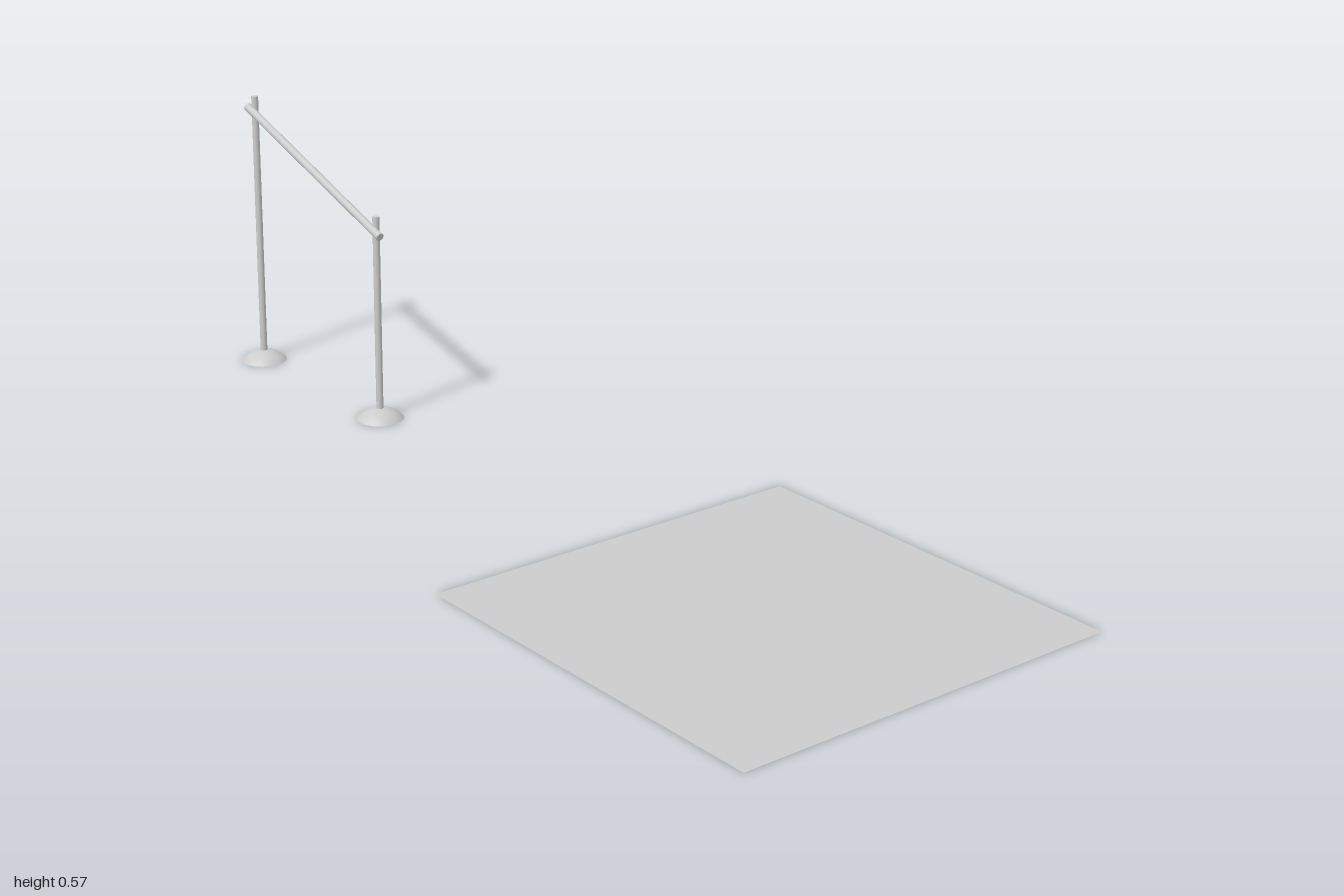
import * as THREE from 'three';

const material = new THREE.MeshStandardMaterial({ color: 0xcccccc, side: THREE.DoubleSide });

function addPart(parent, name, geometry, x = 0, y = 0, z = 0) {
  const mesh = new THREE.Mesh(geometry, material);
  mesh.name = name;
  mesh.position.set(x, y, z);
  parent.add(mesh);
  return mesh;
}

// Shallow spherical cap, with a separate flat underside
function addBase(parent, radius, height) {
  const R = (radius * radius + height * height) / (2 * height);
  const angle = Math.asin(radius / R);
  const cap = new THREE.SphereGeometry(R, 32, 10, 0, Math.PI * 2, 0, angle);
  addPart(parent, 'baseDome', cap, 0, height - R, 0);
  addPart(parent, 'baseUnderside', new THREE.CircleGeometry(radius, 32).rotateX(Math.PI / 2));
}

function createPost(name, height, z) {
  const post = new THREE.Group();
  post.name = name;
  post.position.z = z;
  addBase(post, 0.047, 0.022);
  addPart(post, 'pole', new THREE.CylinderGeometry(0.007, 0.007, height - 0.01, 24), 0, (height + 0.01) / 2, 0);
  return post;
}

export function createModel() {
  const model = new THREE.Group();
  model.name = 'slopedRailAndMat';

  // Flat square mat on the ground
  addPart(model, 'mat', new THREE.PlaneGeometry(0.78, 0.78).rotateX(-Math.PI / 2), 0, 0, 0.61);

  // Short front post and tall rear post
  model.add(createPost('frontPost', 0.415, -0.521));
  model.add(createPost('rearPost', 0.567, -0.953));

  // Sloping rail fixed to the right side of both posts
  const start = new THREE.Vector3(-0.008, 0.381, -0.496);
  const end = new THREE.Vector3(-0.008, 0.543, -0.969);
  const direction = end.clone().sub(start);
  const rail = addPart(model, 'rail', new THREE.CylinderGeometry(0.008, 0.008, direction.length(), 24));
  rail.position.copy(start).add(end).multiplyScalar(0.5);
  rail.quaternion.setFromUnitVectors(new THREE.Vector3(0, 1, 0), direction.normalize());

  return model;
}
